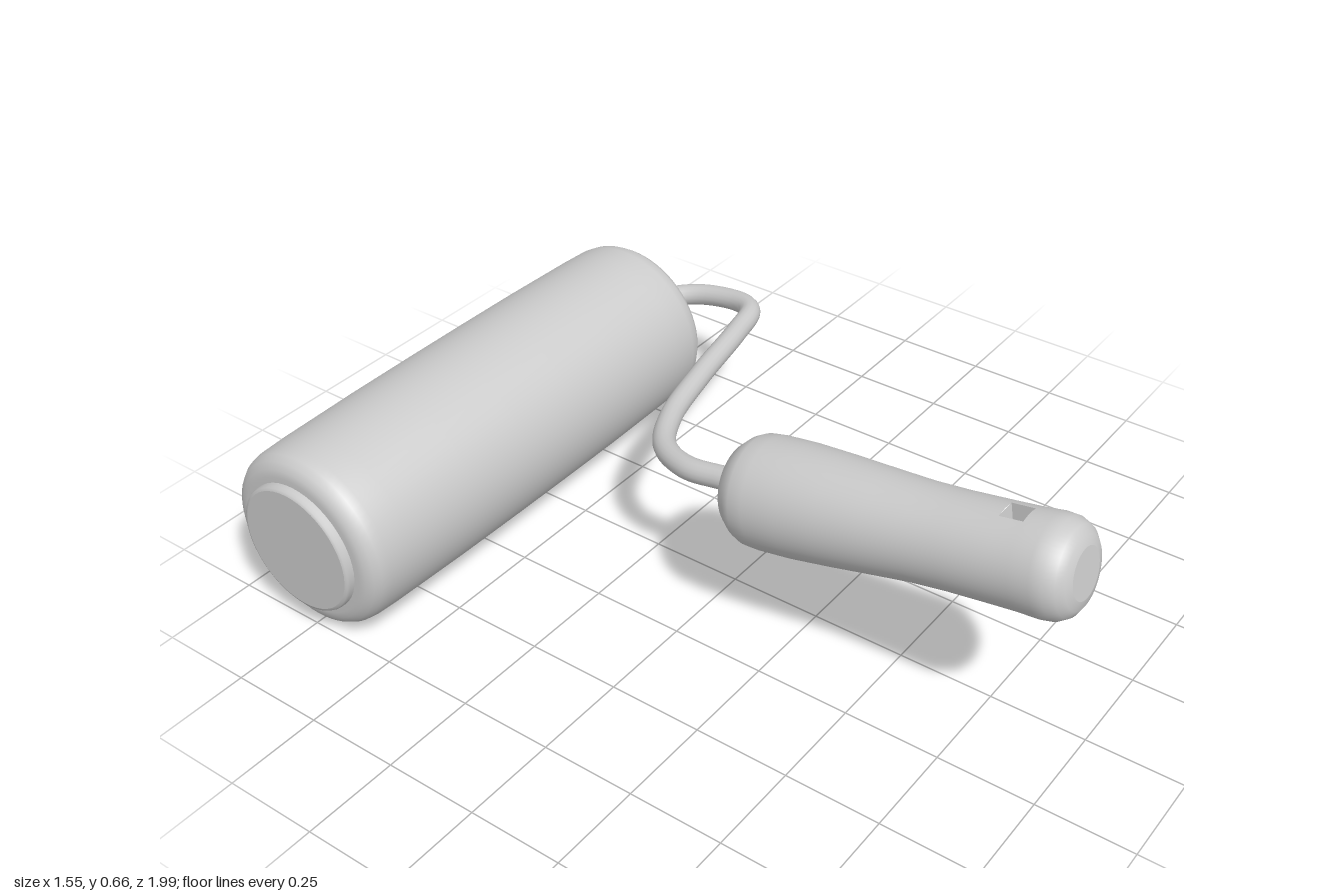
import * as THREE from 'three';

const TILT = 0.17; // upward slope of the handle
const material = new THREE.MeshStandardMaterial({ color: 0xcccccc });
const inside = new THREE.MeshStandardMaterial({ color: 0xcccccc, side: THREE.BackSide });

// Lathe from [radius, height] pairs; a repeated pair makes a sharp edge
function lathe(profile, segments) {
  return new THREE.LatheGeometry(profile.map(([r, h]) => new THREE.Vector2(r, h)), segments);
}

function addMesh(parent, name, geometry, mat = material) {
  const mesh = new THREE.Mesh(geometry, mat);
  mesh.name = name;
  parent.add(mesh);
  return mesh;
}

// Mirrors half a profile (middle to end) to both ends
function mirrored(half) {
  return [...half.map(([r, h]) => [r, -h]).reverse(), ...half];
}

function makeRoller() {
  const roller = new THREE.Group();
  roller.name = 'roller';
  // Soft sleeve, barrelled slightly, with rounded shoulders
  addMesh(roller, 'sleeve', lathe(mirrored([
    [0.249, 0.1], [0.248, 0.3], [0.244, 0.53], [0.241, 0.6], [0.236, 0.625],
    [0.225, 0.642], [0.208, 0.653], [0.19, 0.657], [0.16, 0.657],
  ]), 64));
  // Core with a cap protruding at each end
  addMesh(roller, 'core', lathe(mirrored([
    [0.175, 0.6], [0.175, 0.67], [0.172, 0.677], [0.165, 0.68], [0.165, 0.68], [0, 0.68],
  ]), 48));
  roller.rotation.z = -Math.PI / 2;
  roller.position.set(-0.098, 0.251, -0.748);
  return roller;
}

function makeHandle() {
  const handle = new THREE.Group();
  handle.name = 'handle';
  const profile = [
    [0, 0], [0.088, 0], [0.088, 0], [0.107, 0.01], [0.128, 0.038], [0.137, 0.06], [0.14, 0.1],
    [0.139, 0.19], [0.133, 0.29], [0.124, 0.41], [0.117, 0.51], [0.115, 0.6], [0.116, 0.72],
    [0.117, 0.778], [0.12, 0.83], [0.117, 0.86], [0.104, 0.885], [0.085, 0.899], [0.062, 0.905],
    [0.062, 0.905], [0, 0.905],
  ];
  const segments = 52, rows = profile.length - 1, holeRow = 12;
  const grip = lathe(profile, segments);
  // Leave out the faces where the hanging hole passes through
  const kept = Array.from(grip.index.array).filter((_, k) => {
    const quad = Math.floor(k / 6);
    const column = (Math.floor(quad / rows) + 2) % (segments / 2);
    return !(quad % rows === holeRow && column < 4);
  });
  grip.setIndex(kept);
  addMesh(handle, 'grip', grip);

  // Walls of the hanging hole: the four box sides without its z faces
  const [r, start] = profile[holeRow], end = profile[holeRow + 1][1];
  const width = 2 * r * Math.sin(4 * Math.PI / segments);
  const walls = new THREE.BoxGeometry(width, end - start, 2 * r * 0.982);
  walls.setIndex(Array.from(walls.index.array).slice(0, 24));
  addMesh(handle, 'hangingHole', walls, inside).position.y = (start + end) / 2;

  handle.rotation.x = Math.PI / 2 - TILT;
  handle.position.set(-0.1, 0.405, 0.09);
  return handle;
}

function makeWire() {
  // Path in plan; height follows the slope of the frame
  const plan = [
    [-0.1, 0.14], [-0.1, 0.03], [-0.093, -0.08], [-0.03, -0.195], [0.1, -0.277], [0.32, -0.345],
    [0.57, -0.405], [0.69, -0.445], [0.732, -0.51], [0.738, -0.65], [0.7, -0.725],
    [0.64, -0.757], [0.56, -0.762],
  ];
  const points = plan.map(([x, z]) => new THREE.Vector3(x, 0.254 + (z + 0.762) * 0.185, z));
  return new THREE.TubeGeometry(new THREE.CatmullRomCurve3(points), 96, 0.03, 16);
}

export function createModel() {
  const model = new THREE.Group();
  model.name = 'paintRoller';
  model.add(makeRoller(), makeHandle());
  addMesh(model, 'wireFrame', makeWire());
  return model;
}
